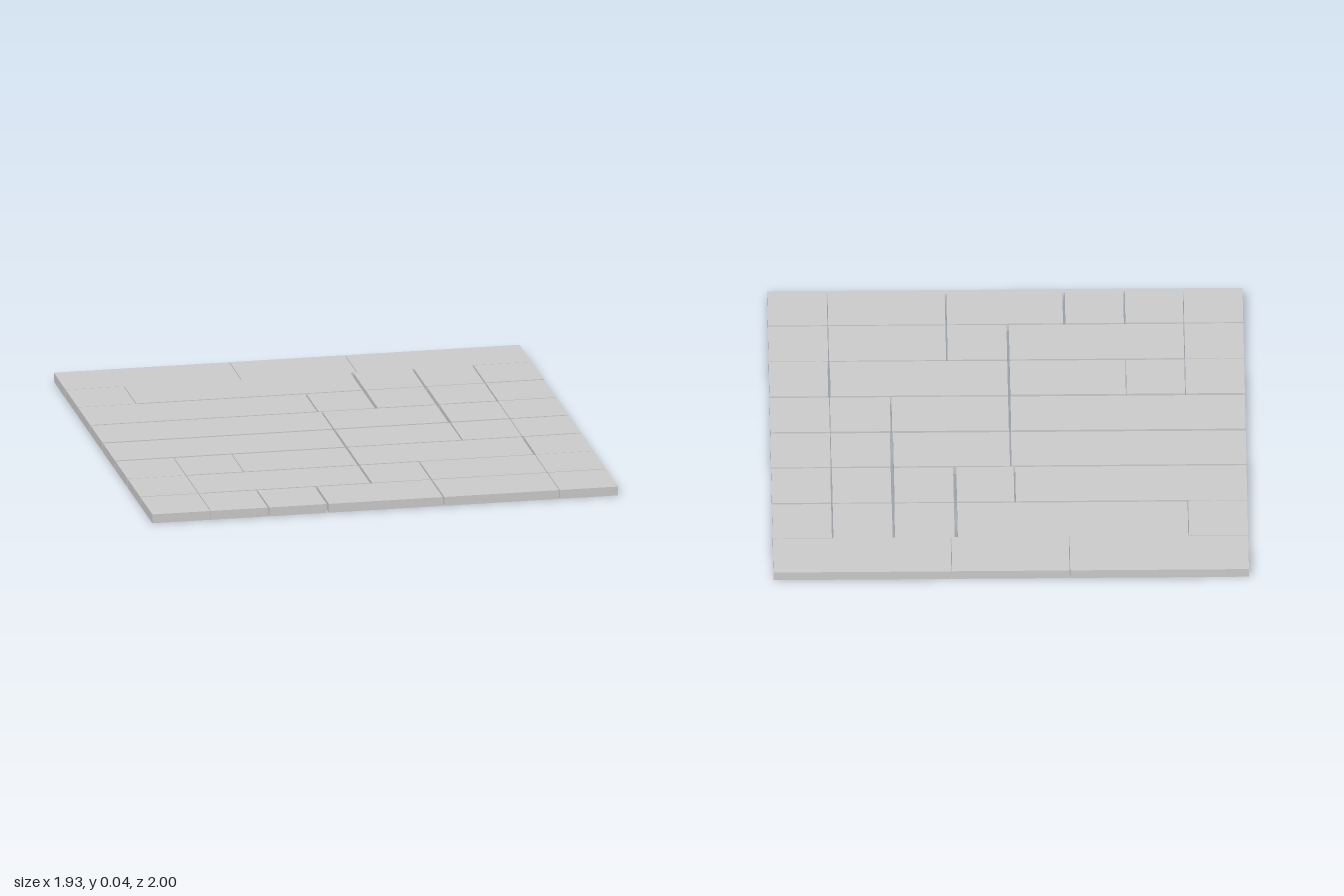
import * as THREE from 'three';

const THICK = 0.037, UNIT = 0.0032, LAP = 0.0006;
// joint positions across (x) and along (z) the paved floor
const X = [-0.952, -0.714, -0.477, -0.235, -0.008, 0.238, 0.467, 0.712, 0.952];
const Z = [-0.987, -0.748, -0.504, -0.253, -0.007, 0.243, 0.492, 0.743, 0.987];

// gap widths in UNITs at the joints between columns, one string per row
const COLUMN_GAPS = [
  '0010100', '1000432', '0002442', '0002041',
  '0003021', '1103003', '1003201', '1230201',
];
// gap widths at the joints between rows, one string per joint
const ROW_GAPS = [
  '10000001', '13333223', '33332332', '44444443',
  '44443333', '13333221', '23332222',
];

// joints that sit slightly off the regular grid
function jointX(row, j) {
  if (j === 5 && (row === 1 || row === 2)) return 0.217;
  if (j === 4 && row === 2) return -0.022;
  return X[j];
}

// half the gap at a joint; closed joints lap slightly, outer edges stay exact
function inset(digit) {
  if (digit === undefined) return 0;
  return digit === '0' ? -LAP : Number(digit) * UNIT / 2;
}

export function createModel() {
  const model = new THREE.Group();
  model.name = 'pavedFloor';
  const material = new THREE.MeshStandardMaterial({ color: 0xcccccc, flatShading: true });

  // whole paving is turned a touch off the axes
  const paving = new THREE.Group();
  paving.name = 'paving';
  paving.rotation.y = -0.013;
  model.add(paving);

  for (let r = 0; r < 8; r++) {
    const row = new THREE.Group();
    row.name = `slabRow${r + 1}`;
    paving.add(row);
    for (let c = 0; c < 8; c++) {
      const x0 = jointX(r, c) + inset(COLUMN_GAPS[r][c - 1]);
      const x1 = jointX(r, c + 1) - inset(COLUMN_GAPS[r][c]);
      const z0 = Z[r] + inset(ROW_GAPS[r - 1]?.[c]);
      const z1 = Z[r + 1] - inset(ROW_GAPS[r]?.[c]);
      const slab = new THREE.Mesh(new THREE.BoxGeometry(x1 - x0, THICK, z1 - z0), material);
      slab.name = `slab${r + 1}_${c + 1}`;
      slab.position.set((x0 + x1) / 2, THICK / 2, (z0 + z1) / 2);
      row.add(slab);
    }
  }
  return model;
}
